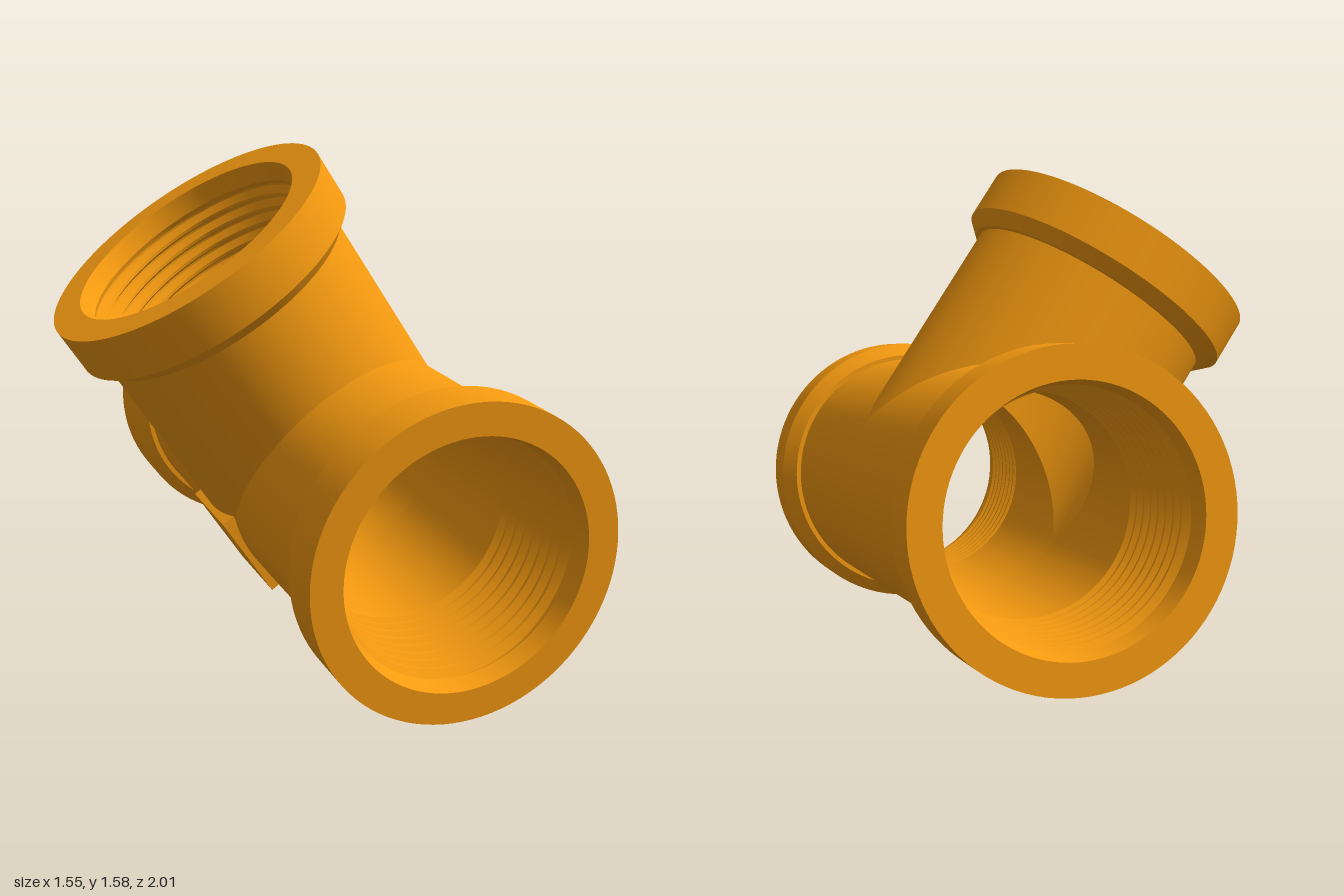
import * as THREE from 'three';
import { toCreasedNormals } from 'three/addons/utils/BufferGeometryUtils.js';

const LENGTH = 0.923;  // centre to each mouth
const PIPE = 0.415;    // outer pipe radius
const COLLAR = 0.472;  // outer collar radius
const BORE = 0.337;    // smooth bore radius
const TURNS = 8;       // thread turns per mouth

// Wall section of one arm: outer skin, collar, mouth, tapered thread, bore
function armProfile() {
  const p = [
    [PIPE, 0],
    [PIPE, LENGTH - 0.19],
    [0.43, LENGTH - 0.19],
    [COLLAR, LENGTH - 0.15],
    [COLLAR, LENGTH],
    [0.376, LENGTH],
    [0.362, LENGTH - 0.06],
  ];
  const pitch = 0.045;
  for (let i = 0; i < TURNS; i++) {
    const y = LENGTH - 0.065 - i * pitch;
    const taper = i * 0.0022;
    p.push([0.372 - taper, y - pitch * 0.25], [0.372 - taper, y - pitch * 0.4]);
    p.push([0.351 - taper, y - pitch * 0.8], [0.351 - taper, y - pitch]);
  }
  p.push([BORE, LENGTH - 0.08 - TURNS * pitch], [BORE, 0]);
  return p.map(([r, y]) => new THREE.Vector2(r, y));
}

// Turned arm whose first and last rings are mitred against the other arms
function makeArm(name, material, mitre) {
  const points = armProfile();
  const lathe = new THREE.LatheGeometry(points, 96);
  const pos = lathe.attributes.position;
  for (let i = 0; i < pos.count; i++) {
    const ring = i % points.length;
    if (ring === 0 || ring === points.length - 1) pos.setY(i, mitre(pos.getZ(i)));
  }
  const mesh = new THREE.Mesh(toCreasedNormals(lathe, 0.3), material);
  mesh.name = name;
  return mesh;
}

export function createModel() {
  const material = new THREE.MeshStandardMaterial({ color: 0xf59a10 });
  const group = new THREE.Group();
  group.name = 'pipeTee';

  // Tee in its own frame: branch along y, straight run along z
  const tee = new THREE.Group();
  tee.name = 'tee';
  const branch = makeArm('branchArm', material, (z) => Math.abs(z));
  const front = makeArm('frontArm', material, (z) => Math.max(0, -z));
  front.rotation.x = Math.PI / 2;
  const back = makeArm('backArm', material, (z) => Math.max(0, z));
  back.rotation.x = -Math.PI / 2;
  tee.add(branch, front, back);

  // Flat pad on the side of the junction
  const pad = new THREE.Mesh(new THREE.BoxGeometry(0.05, 0.3, 0.28), material);
  pad.name = 'sidePad';
  pad.position.set(-0.408, 0, 0);
  tee.add(pad);

  // Tilt the tee so that it rests on its front collar
  const run = new THREE.Vector3(0.375, -0.165, 1.8).normalize();
  const up = new THREE.Vector3(-0.51, 0.755, 0.16);
  up.addScaledVector(run, -up.dot(run)).normalize();
  const side = new THREE.Vector3().crossVectors(up, run);
  tee.quaternion.setFromRotationMatrix(new THREE.Matrix4().makeBasis(side, up, run));
  tee.position.set(0.125, 0.552, 0);
  group.add(tee);
  return group;
}
